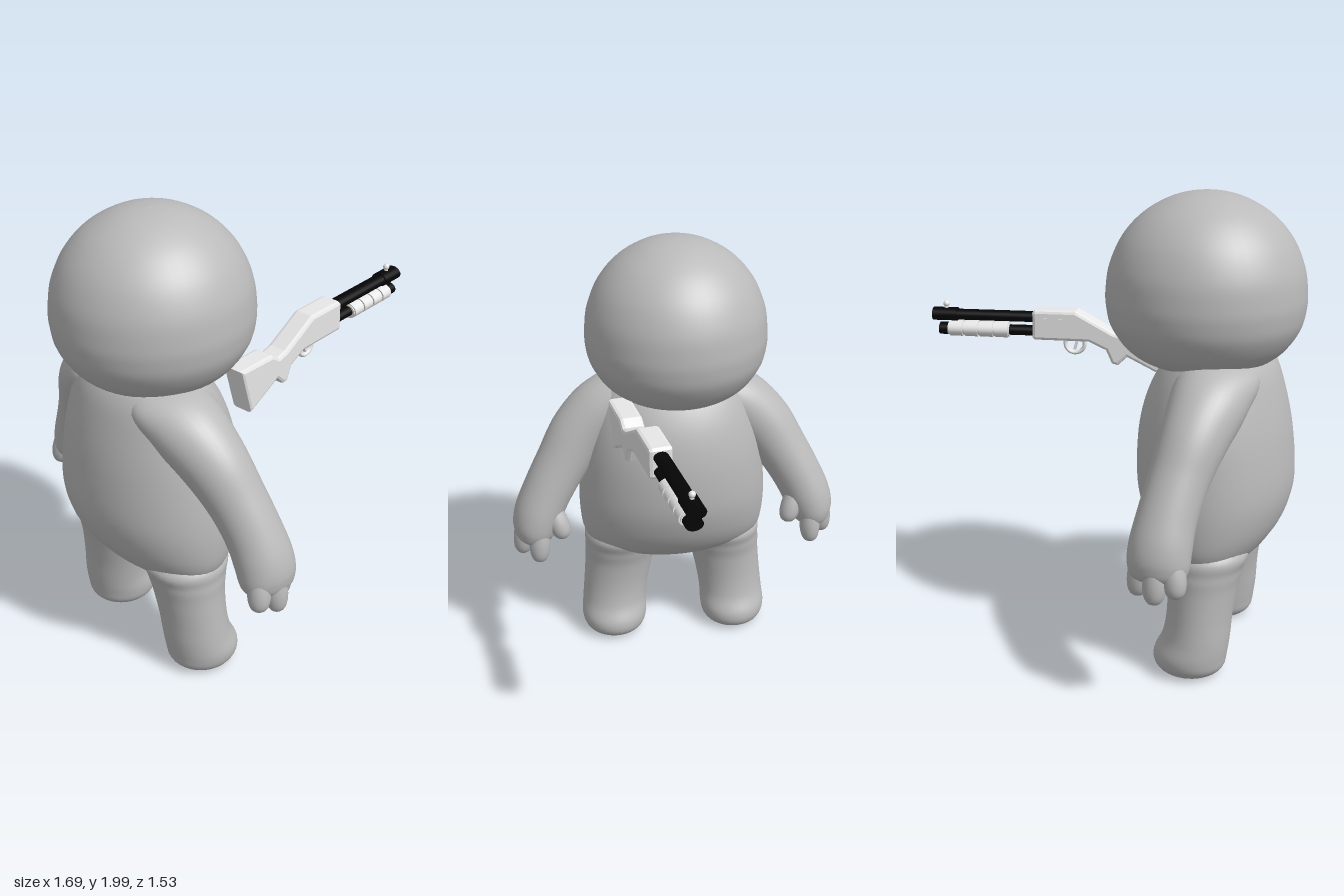
import * as THREE from 'three';

const mat = (name, color) => {
  const m = new THREE.MeshStandardMaterial({ color });
  m.name = name;
  return m;
};

// Smooth closed loft through sections [x, y, z, radiusX, radiusAcross]
function loft(sections, level = false, steps = 6, sides = 36) {
  const path = new THREE.CatmullRomCurve3(sections.map(s => new THREE.Vector3(s[0], s[1], s[2])), false, 'catmullrom');
  const size = new THREE.CatmullRomCurve3(sections.map(s => new THREE.Vector3(s[3], s[4], 0)), false, 'catmullrom');
  const n = (sections.length - 1) * steps;
  const pos = [], idx = [];
  for (let i = 0; i <= n; i++) {
    const c = path.getPoint(i / n), r = size.getPoint(i / n);
    const t = level ? new THREE.Vector3(0, 1, 0) : path.getTangent(i / n);
    const u = new THREE.Vector3(1, 0, 0).addScaledVector(t, -t.x).normalize();
    const v = t.clone().cross(u);
    for (let j = 0; j < sides; j++) {
      const a = j / sides * Math.PI * 2;
      const p = c.clone().addScaledVector(u, Math.max(0, r.x) * Math.cos(a)).addScaledVector(v, Math.max(0, r.y) * Math.sin(a));
      pos.push(p.x, p.y, p.z);
      if (i < n) {
        const k = (j + 1) % sides, A = i * sides, B = A + sides;
        idx.push(A + j, A + k, B + k, A + j, B + k, B + j);
      }
    }
  }
  const g = new THREE.BufferGeometry();
  g.setAttribute('position', new THREE.Float32BufferAttribute(pos, 3));
  g.setIndex(idx);
  g.computeVertexNormals();
  return g;
}

export function createModel() {
  const skin = mat('body grey', 0xbababa);
  const pale = mat('pale grey', 0xebebeb);
  const black = mat('barrel black', 0x050505);
  const model = new THREE.Group();
  const add = (parent, name, geo, material, x = 0, y = 0, z = 0) => {
    const m = new THREE.Mesh(geo, material);
    m.name = name;
    m.position.set(x, y, z);
    parent.add(m);
    return m;
  };

  // Head: round on top, flatter underneath
  const head = [[1.265, 0], [1.272, 0.13], [1.3, 0.24], [1.36, 0.328], [1.45, 0.388], [1.53, 0.407], [1.6, 0.408],
    [1.7, 0.393], [1.81, 0.345], [1.9, 0.268], [1.96, 0.175], [1.99, 0.088], [2.0, 0]];
  add(model, 'head', loft(head.map(([y, r]) => [-0.43, y, -0.015, r * 1.012, r * 0.99]), true, 5, 48), skin);

  // Torso: rows of height, back x, front x, half width
  const torso = [[0.43, -0.49, -0.49, 0], [0.445, -0.6, -0.38, 0.22], [0.5, -0.68, -0.30, 0.37], [0.56, -0.735, -0.245, 0.42],
    [0.66, -0.79, -0.195, 0.438], [0.8, -0.82, -0.162, 0.438], [1.0, -0.805, -0.163, 0.415], [1.17, -0.77, -0.2, 0.375],
    [1.3, -0.725, -0.27, 0.325], [1.36, -0.66, -0.34, 0.25], [1.4, -0.5, -0.5, 0]];
  add(model, 'torso', loft(torso.map(([y, b, f, w]) => [(b + f) / 2, y, 0, (f - b) / 2, w]), true, 6, 48), skin);

  for (const [side, s] of [['left', -1], ['right', 1]]) {
    const flip = rows => rows.map(([x, y, z, a, b]) => [x, y, z * s, a, b]);

    // Leg with the foot swelling forward
    add(model, side + 'Leg', loft(flip([[-0.46, 0.01, 0.295, 0, 0], [-0.46, 0.014, 0.295, 0.1, 0.1],
      [-0.46, 0.045, 0.295, 0.146, 0.142], [-0.463, 0.1, 0.295, 0.155, 0.157], [-0.485, 0.18, 0.29, 0.142, 0.155],
      [-0.495, 0.28, 0.278, 0.138, 0.157], [-0.5, 0.4, 0.26, 0.148, 0.165], [-0.5, 0.48, 0.25, 0.165, 0.172],
      [-0.5, 0.57, 0.235, 0.172, 0.165], [-0.5, 0.7, 0.2, 0, 0]]), true), skin);

    // Arm from shoulder to palm
    const arm = new THREE.Group();
    arm.name = side + 'Arm';
    model.add(arm);
    add(arm, side + 'Sleeve', loft(flip([[-0.53, 1.34, 0.08, 0, 0], [-0.53, 1.29, 0.16, 0.16, 0.08], [-0.515, 1.205, 0.295, 0.16, 0.136],
      [-0.485, 1.09, 0.42, 0.138, 0.138], [-0.45, 0.95, 0.517, 0.122, 0.122], [-0.425, 0.82, 0.592, 0.12, 0.115],
      [-0.412, 0.71, 0.642, 0.126, 0.112], [-0.41, 0.63, 0.664, 0.122, 0.098], [-0.41, 0.585, 0.673, 0.09, 0.065],
      [-0.41, 0.565, 0.677, 0, 0]])), skin);

    // Three fingers and a thumb: base and tip
    const digits = [[[-0.465, 0.72, 0.68], [-0.497, 0.53, 0.712]], [[-0.41, 0.72, 0.7], [-0.41, 0.5, 0.725]],
      [[-0.345, 0.72, 0.64], [-0.32, 0.495, 0.648]], [[-0.38, 0.79, 0.59], [-0.325, 0.61, 0.525]]];
    digits.forEach(([p, q], i) => {
      const at = (k, r) => [...p.map((v, c) => v + (q[c] - v) * k), r, r];
      add(arm, i < 3 ? 'finger' : 'thumb', loft(flip([at(0, 0), at(0.12, 0.035), at(0.5, 0.048), at(0.78, 0.044),
        at(0.94, 0.028), at(1, 0)]), false, 4, 18), skin);
    });
  }

  // Gun floating in front of the chest, angled slightly
  const gun = new THREE.Group();
  gun.name = 'gun';
  gun.position.z = 0.22;
  gun.rotation.y = 0.16;
  gun.scale.x = 1.013;
  model.add(gun);

  // Stock, grip and receiver in one bevelled outline
  const outline = [[-0.254, 1.347], [-0.06, 1.344], [-0.02, 1.317], [0.026, 1.328], [0.195, 1.422], [0.378, 1.422], [0.388, 1.41],
    [0.388, 1.297], [0.378, 1.287], [0.14, 1.286], [0.063, 1.25], [0.037, 1.19], [0.01, 1.183], [-0.03, 1.222], [-0.196, 1.137]];
  const stock = new THREE.ExtrudeGeometry(new THREE.Shape(outline.map(p => new THREE.Vector2(...p))), {
    depth: 0.07, bevelEnabled: true, bevelThickness: 0.016, bevelSize: 0.014, bevelOffset: -0.014, bevelSegments: 2 });
  stock.translate(0, 0, -0.035);
  add(gun, 'stockAndReceiver', stock, pale);
  add(gun, 'ejectionPort', new THREE.BoxGeometry(0.1, 0.035, 0.008), pale, 0.3, 1.37, -0.049);

  // Trigger guard and trigger
  add(gun, 'triggerGuard', new THREE.TorusGeometry(0.043, 0.009, 10, 28), pale, 0.205, 1.268).scale.z = 1.5;
  add(gun, 'trigger', new THREE.BoxGeometry(0.012, 0.05, 0.02), pale, 0.2, 1.265).rotation.z = 0.25;

  // Barrel, magazine and pump: tubes along x, a little wider than tall
  const tube = (name, x0, x1, y, r, material) => {
    const g = new THREE.CylinderGeometry(r, r, x1 - x0, 24);
    g.rotateZ(Math.PI / 2);
    add(gun, name, g, material, (x0 + x1) / 2, y).scale.z = 1.35;
  };
  tube('barrel', 0.37, 0.84, 1.383, 0.024, black);
  tube('muzzle', 0.73, 0.838, 1.384, 0.029, black);
  tube('magazineTube', 0.37, 0.8, 1.32, 0.023, black);
  tube('magazineCap', 0.765, 0.81, 1.318, 0.027, black);
  tube('pumpCore', 0.495, 0.77, 1.32, 0.03, pale);
  for (let i = 0; i < 4; i++) tube('pumpRib', 0.5 + i * 0.068, 0.558 + i * 0.068, 1.32, 0.035, pale);

  // Bead sight
  add(gun, 'sightPost', new THREE.CylinderGeometry(0.008, 0.01, 0.03, 12), pale, 0.78, 1.418);
  add(gun, 'sightBead', new THREE.SphereGeometry(0.014, 16, 12), pale, 0.78, 1.43);
  return model;
}
